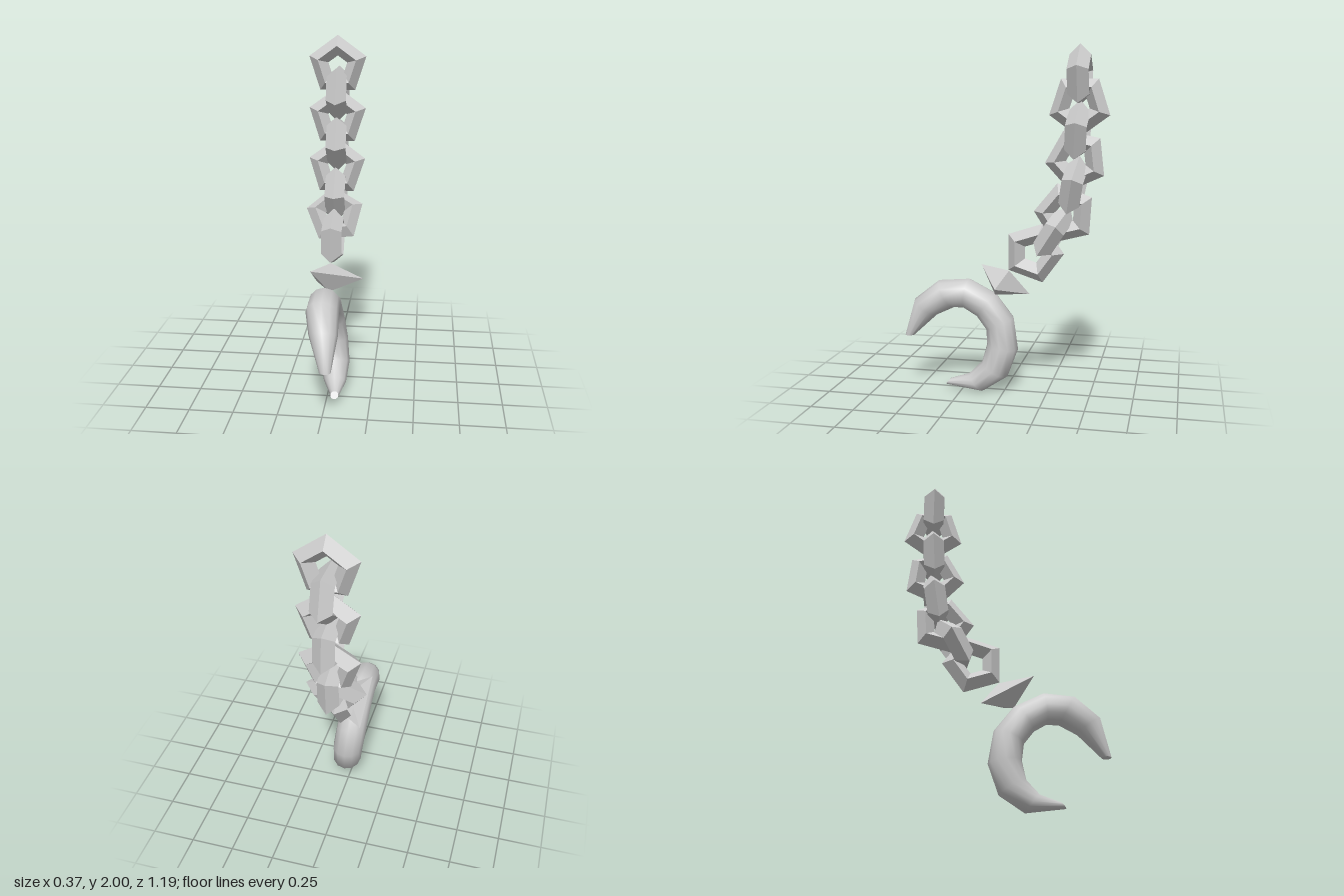
import * as THREE from 'three';

const flat = new THREE.MeshStandardMaterial({ color: 0xcccccc, flatShading: true });
const smooth = new THREE.MeshStandardMaterial({ color: 0xcccccc });
const CX = -0.012; // chain centre line

// Hook sections: outer z, y, inner z, y, centre x, half width in x
const SECTIONS = [
  [0.60, 0.31, 0.545, 0.31, 0.025, 0.032],
  [0.545, 0.525, 0.41, 0.435, 0.005, 0.08],
  [0.40, 0.64, 0.31, 0.48, -0.014, 0.093],
  [0.22, 0.655, 0.245, 0.48, -0.018, 0.09],
  [0.06, 0.575, 0.17, 0.435, -0.018, 0.09],
  [-0.05, 0.435, 0.115, 0.365, -0.012, 0.092],
  [-0.08, 0.255, 0.105, 0.275, 0.005, 0.093],
  [-0.02, 0.09, 0.13, 0.175, 0.023, 0.089],
  [0.12, 0.0, 0.205, 0.10, 0.036, 0.065],
  [0.345, 0.03, 0.315, 0.065, 0.05, 0.023],
];

// Tapering tube lofted through elliptical sections, with flat end caps
function hookGeometry(sides = 12) {
  const pos = [], index = [];
  const addRing = ([oz, oy, iz, iy, x, w]) => {
    const start = pos.length / 3;
    for (let j = 0; j < sides; j++) {
      const a = (j / sides) * Math.PI * 2, c = Math.cos(a) / 2;
      pos.push(x + w * Math.sin(a), (oy + iy) / 2 + (oy - iy) * c, (oz + iz) / 2 + (oz - iz) * c);
    }
    return start;
  };
  const rings = SECTIONS.map(addRing);
  for (let i = 0; i < rings.length - 1; i++) {
    for (let j = 0; j < sides; j++) {
      const k = (j + 1) % sides;
      const a = rings[i] + j, b = rings[i + 1] + j, c = rings[i] + k, d = rings[i + 1] + k;
      index.push(a, c, b, b, c, d);
    }
  }
  // caps use their own vertices so the rims stay sharp
  const first = addRing(SECTIONS[0]), last = addRing(SECTIONS[SECTIONS.length - 1]);
  for (let j = 1; j < sides - 1; j++) {
    index.push(first, first + j + 1, first + j, last, last + j, last + j + 1);
  }
  const g = new THREE.BufferGeometry();
  g.setAttribute('position', new THREE.Float32BufferAttribute(pos, 3));
  g.setIndex(index);
  g.computeVertexNormals();
  return g;
}

export function createModel() {
  const model = new THREE.Group();
  model.name = 'hookAndChain';

  // Chain: links alternate between facing front and facing sideways
  // y, z, backward tilt, roll within the link's own plane
  const links = [
    [1.821, -0.42, 0, 0],
    [1.665, -0.42, 0, 0],
    [1.515, -0.412, 0.07, 0],
    [1.363, -0.406, 0.2, 0],
    [1.21, -0.392, 0.18, 0],
    [1.056, -0.345, 0.375, 0],
    [0.94, -0.276, 0.57, 0.11],
    [0.825, -0.163, 0.942, 0],
  ];
  const linkGeometry = new THREE.TorusGeometry(0.119, 0.06, 4, 5);
  const chain = new THREE.Group();
  chain.name = 'chain';
  links.forEach(([y, z, tilt, roll], i) => {
    const link = new THREE.Mesh(linkGeometry, flat);
    link.name = `chainLink${i + 1}`;
    link.position.set(CX, y, z);
    link.rotation.order = 'YXZ';
    if (i % 2 === 0) link.rotation.set(-tilt, 0, Math.PI / 2 + roll); // point up
    else link.rotation.set(0, Math.PI / 2, -Math.PI / 2 - tilt);      // point down
    chain.add(link);
  });
  model.add(chain);

  // Three-sided double pyramid joining chain and hook
  const joint = new THREE.Mesh(new THREE.SphereGeometry(1, 3, 2, Math.PI), flat);
  joint.name = 'jointSpike';
  joint.scale.set(0.194, 0.084, 0.194);
  joint.rotation.x = -Math.PI / 6;
  joint.position.set(-0.009, 0.643, 0.019);
  model.add(joint);

  // Curved hook
  const hook = new THREE.Mesh(hookGeometry(), smooth);
  hook.name = 'hook';
  model.add(hook);

  return model;
}
